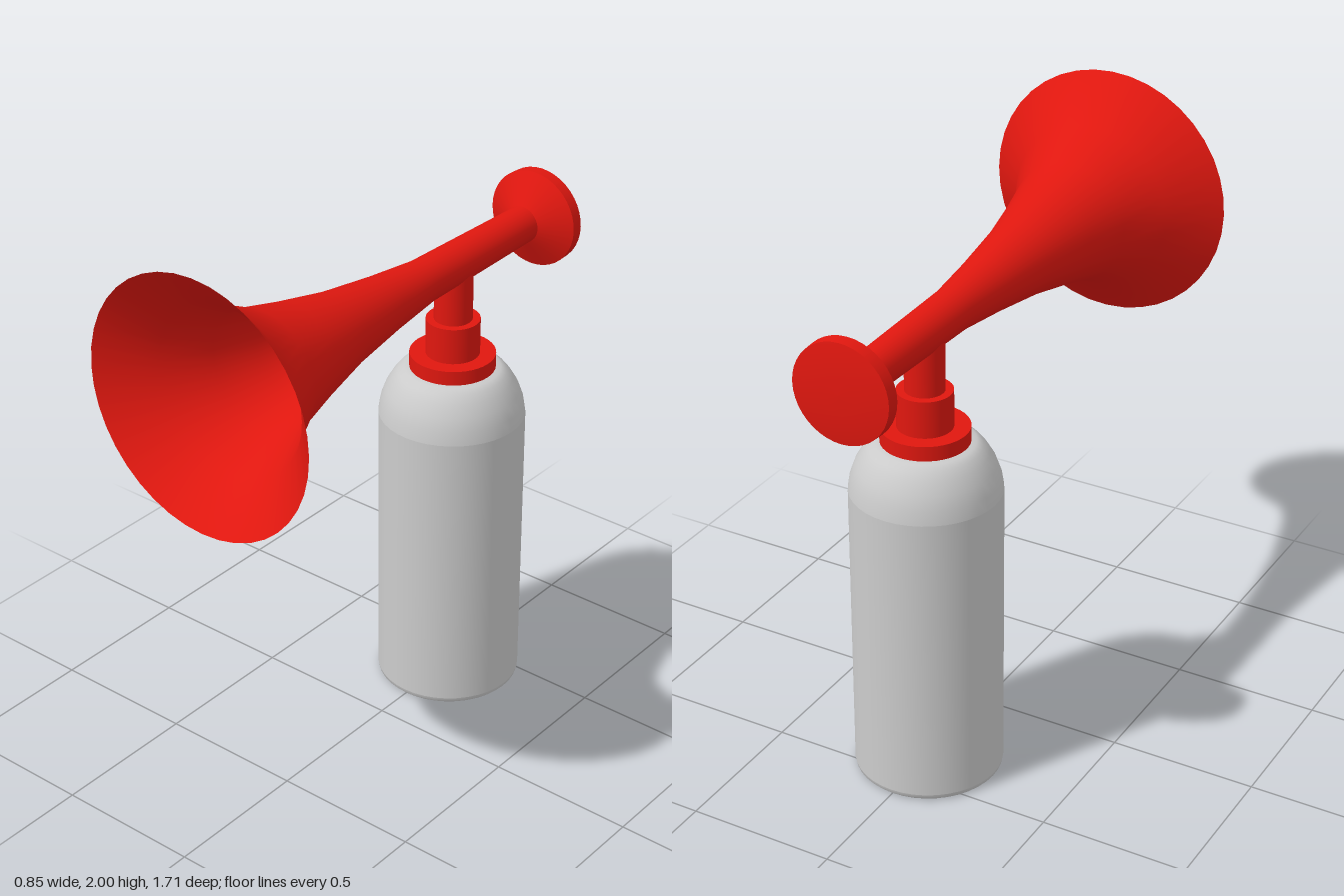
import * as THREE from 'three';

const red = new THREE.MeshStandardMaterial({ color: 0xe0170f, side: THREE.DoubleSide });
const grey = new THREE.MeshStandardMaterial({ color: 0xcccccc, side: THREE.DoubleSide });
const SEGMENTS = 40;
const CAN_Z = -0.37;
const HORN_Y = 1.573;

// Revolve [radius, height] pairs around the y axis
function lathe(name, profile, material) {
  const points = profile.map(([r, h]) => new THREE.Vector2(r, h));
  const mesh = new THREE.Mesh(new THREE.LatheGeometry(points, SEGMENTS), material);
  mesh.name = name;
  return mesh;
}

export function createModel() {
  const model = new THREE.Group();
  model.name = 'airHorn';

  // Gas can and valve stack share one upright axis
  const canister = new THREE.Group();
  canister.name = 'canister';
  canister.position.z = CAN_Z;
  model.add(canister);

  canister.add(lathe('canBase', [[0, 0], [0.235, 0]], grey));
  canister.add(lathe('canBottomEdge', [[0.235, 0], [0.242, 0.007], [0.245, 0.02]], grey));
  canister.add(lathe('canWall', [[0.245, 0.02], [0.245, 1.03]], grey));
  canister.add(lathe('canShoulder', [
    [0.245, 1.03], [0.238, 1.075], [0.222, 1.12], [0.2, 1.158],
    [0.18, 1.183], [0.16, 1.197], [0.13, 1.2], [0, 1.2],
  ], grey));

  // Valve: name, radius, bottom, top
  [
    ['collar', 0.143, 1.2, 1.25],
    ['valveBody', 0.09, 1.25, 1.375],
    ['valveStem', 0.064, 1.375, 1.545],
  ].forEach(([name, r, y0, y1]) => {
    const part = new THREE.Mesh(new THREE.CylinderGeometry(r, r, y1 - y0, SEGMENTS), red);
    part.name = name;
    part.position.y = (y0 + y1) / 2;
    canister.add(part);
  });

  // Horn lies along z, with its bell open to the front
  const horn = new THREE.Group();
  horn.name = 'horn';
  horn.position.y = HORN_Y;
  horn.rotation.x = Math.PI / 2;
  model.add(horn);

  horn.add(lathe('bell', [
    [0.063, -0.74], [0.073, -0.2], [0.095, 0], [0.126, 0.22],
    [0.167, 0.41], [0.205, 0.56], [0.281, 0.715], [0.427, 0.855],
  ], red));

  // Flared cap that closes the back end
  horn.add(lathe('capFlare', [[0.167, -0.8], [0.063, -0.74]], red));
  horn.add(lathe('capRim', [[0.165, -0.843], [0.167, -0.8]], red));
  horn.add(lathe('capBack', [[0, -0.855], [0.06, -0.854], [0.12, -0.85], [0.165, -0.843]], red));

  return model;
}
